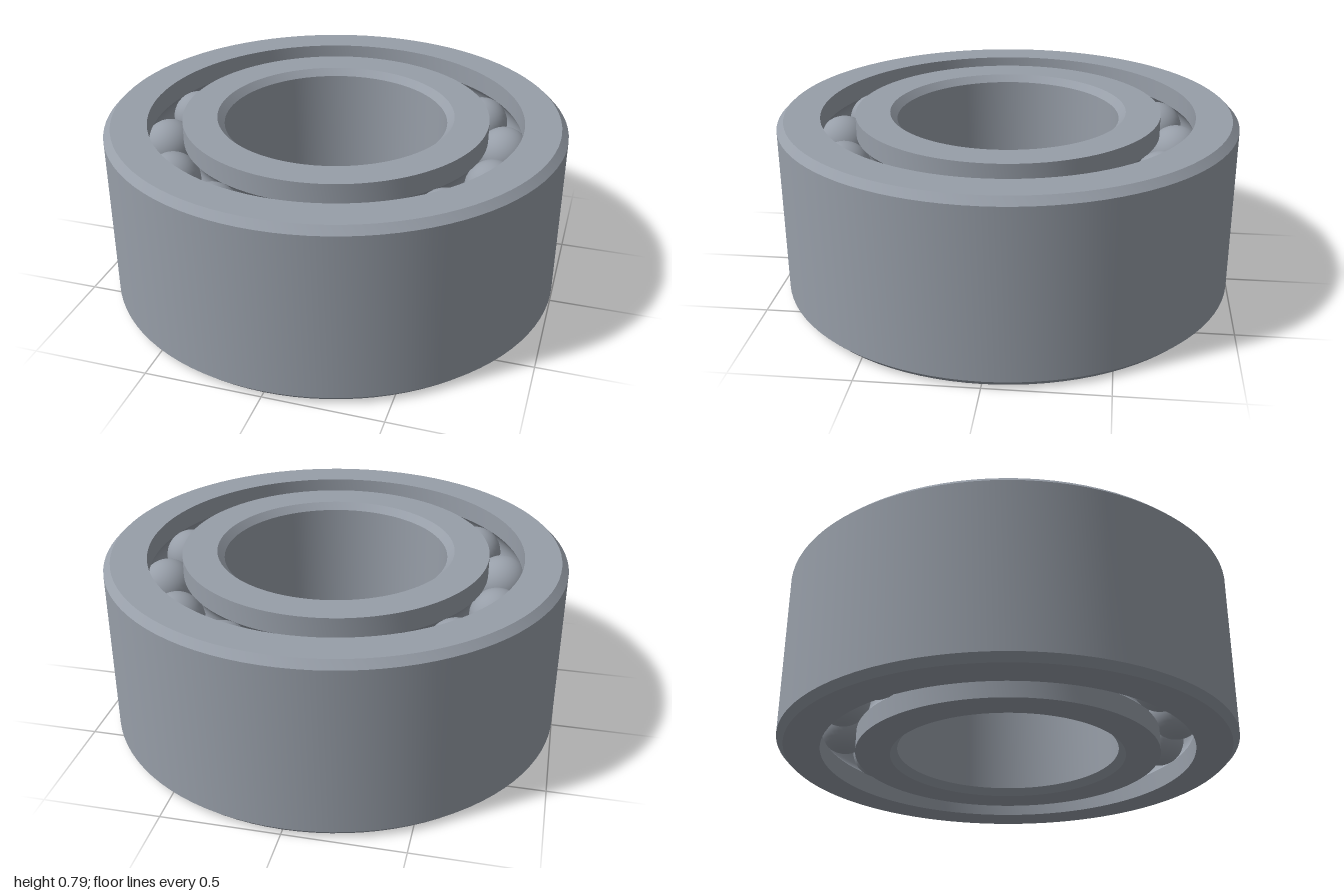
import * as THREE from 'three';
import { toCreasedNormals } from 'three/addons/utils/BufferGeometryUtils.js';

const HEIGHT = 0.79, CHAMFER = 0.03;
const PITCH = 0.74, BALL = 0.117, COUNT = 14;
const ROWS = [0.18, 0.61];

export function createModel() {
  const group = new THREE.Group();
  const steel = new THREE.MeshStandardMaterial({ color: 0x979ea8 });
  steel.name = 'steel';

  // Raceway wall at radius r with a round groove at each ball row, bottom to top
  function raceway(r) {
    const side = Math.sign(r - PITCH);
    const half = Math.acos(Math.abs(r - PITCH) / BALL);
    const points = [[r, 0]];
    for (const y of ROWS) {
      for (let i = 0; i <= 12; i++) {
        const a = half * (i / 6 - 1);
        points.push([PITCH + side * BALL * Math.cos(a), y + BALL * Math.sin(a)]);
      }
    }
    points.push([r, HEIGHT]);
    return points;
  }

  // Smooth wall at radius r with chamfered ends, bottom to top
  function chamferedWall(r, end) {
    return [[end, 0], [r, CHAMFER], [r, HEIGHT - CHAMFER], [end, HEIGHT]];
  }

  // Closed ring: outer wall upwards, inner wall downwards
  function ring(name, outer, inner) {
    const loop = [...outer, ...inner.reverse(), outer[0]];
    const lathe = new THREE.LatheGeometry(loop.map(([x, y]) => new THREE.Vector2(x, y)), 96);
    const mesh = new THREE.Mesh(toCreasedNormals(lathe, 0.5), steel);
    mesh.name = name;
    group.add(mesh);
  }
  ring('outerRing', chamferedWall(1, 1 - CHAMFER), raceway(0.815));
  ring('innerRing', raceway(0.665), chamferedWall(0.485, 0.485 + CHAMFER));

  // Two aligned rows of balls
  const ballGeometry = new THREE.SphereGeometry(BALL, 32, 20);
  ROWS.forEach((y, row) => {
    const balls = new THREE.Group();
    balls.name = row ? 'upperBalls' : 'lowerBalls';
    for (let i = 0; i < COUNT; i++) {
      const a = (i / COUNT) * Math.PI * 2 - 0.0175;
      const ball = new THREE.Mesh(ballGeometry, steel);
      ball.name = 'ball';
      ball.position.set(PITCH * Math.sin(a), y, -PITCH * Math.cos(a));
      balls.add(ball);
    }
    group.add(balls);
  });

  return group;
}
